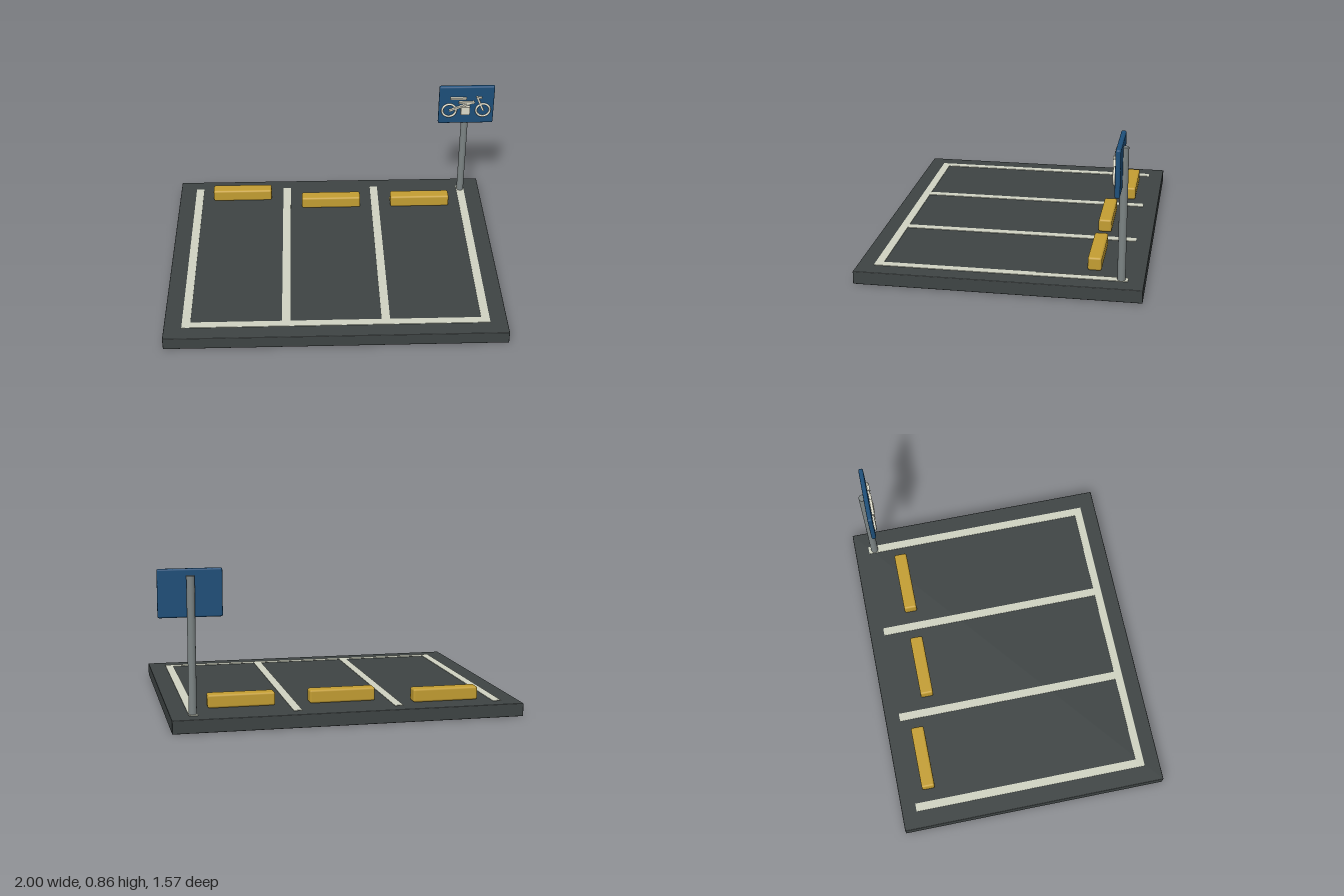
import * as THREE from 'three';
import { RoundedBoxGeometry } from 'three/addons/geometries/RoundedBoxGeometry.js';

const mat = (name, color) => {
  const m = new THREE.MeshStandardMaterial({ color });
  m.name = name;
  return m;
};

export function createModel() {
  const asphalt = mat('asphalt', 0x3e4444);
  const linePaint = mat('line paint', 0xd0d3c2);
  const yellow = mat('kerb yellow', 0xc49e32);
  const steel = mat('steel', 0x7c8484);
  const blue = mat('sign blue', 0x1d4f7a);
  const cream = mat('symbol cream', 0xdedccb);

  const model = new THREE.Group();
  model.name = 'parkingBays';

  const add = (parent, name, geometry, material, x, y, z) => {
    const mesh = new THREE.Mesh(geometry, material);
    mesh.name = name;
    mesh.position.set(x, y, z);
    parent.add(mesh);
    return mesh;
  };
  const box = (w, h, d) => new THREE.BoxGeometry(w, h, d);
  const rounded = (w, h, d, r) => new RoundedBoxGeometry(w, h, d, 2, r);

  // Ground slab
  add(model, 'groundSlab', rounded(1.946, 0.074, 1.57, 0.004), asphalt, -0.027, 0.038, 0);

  // Painted bay lines: four dividers and one closing line
  const lines = new THREE.Group();
  lines.name = 'bayLines';
  model.add(lines);
  const lineX = [-0.875, -0.309, 0.257, 0.823];
  for (const x of lineX) add(lines, 'dividerLine', box(0.048, 0.004, 1.346), linePaint, x, 0.076, -0.025);
  add(lines, 'frontLine', box(1.746, 0.004, 0.046), linePaint, -0.026, 0.076, 0.671);

  // Wheel stops, the first one set further back
  [[-0.594, -0.603], [-0.026, -0.507], [0.541, -0.507]].forEach(([x, z]) =>
    add(model, 'wheelStop', rounded(0.373, 0.076, 0.077, 0.012), yellow, x, 0.112, z));

  // Sign post and panel
  add(model, 'signPost', new THREE.CylinderGeometry(0.022, 0.022, 0.82, 20), steel, 0.823, 0.41, -0.661);
  add(model, 'signPanel', rounded(0.345, 0.26, 0.028, 0.01), blue, 0.825, 0.727, -0.641);

  // Raised two-wheeler symbol
  const symbol = new THREE.Group();
  symbol.name = 'motorcycleSymbol';
  symbol.position.z = -0.617;
  model.add(symbol);
  for (const x of [0.717, 0.929])
    add(symbol, 'wheel', new THREE.TorusGeometry(0.043, 0.007, 8, 24), cream, x, 0.695, -0.003);

  const bar = (name, x1, y1, x2, y2, thick) => {
    const length = Math.hypot(x2 - x1, y2 - y1);
    const mesh = add(symbol, name, box(length, thick, 0.016), cream, (x1 + x2) / 2, (y1 + y2) / 2, 0);
    mesh.rotation.z = Math.atan2(y2 - y1, x2 - x1);
  };
  bar('seat', 0.722, 0.782, 0.822, 0.782, 0.011);
  bar('tank', 0.775, 0.752, 0.873, 0.752, 0.014);
  bar('frame', 0.717, 0.695, 0.872, 0.757, 0.011);
  bar('fork', 0.887, 0.792, 0.929, 0.695, 0.012);
  bar('handlebar', 0.885, 0.786, 0.918, 0.784, 0.008);
  add(symbol, 'engine', box(0.056, 0.055, 0.022), cream, 0.818, 0.696, 0);

  return model;
}
